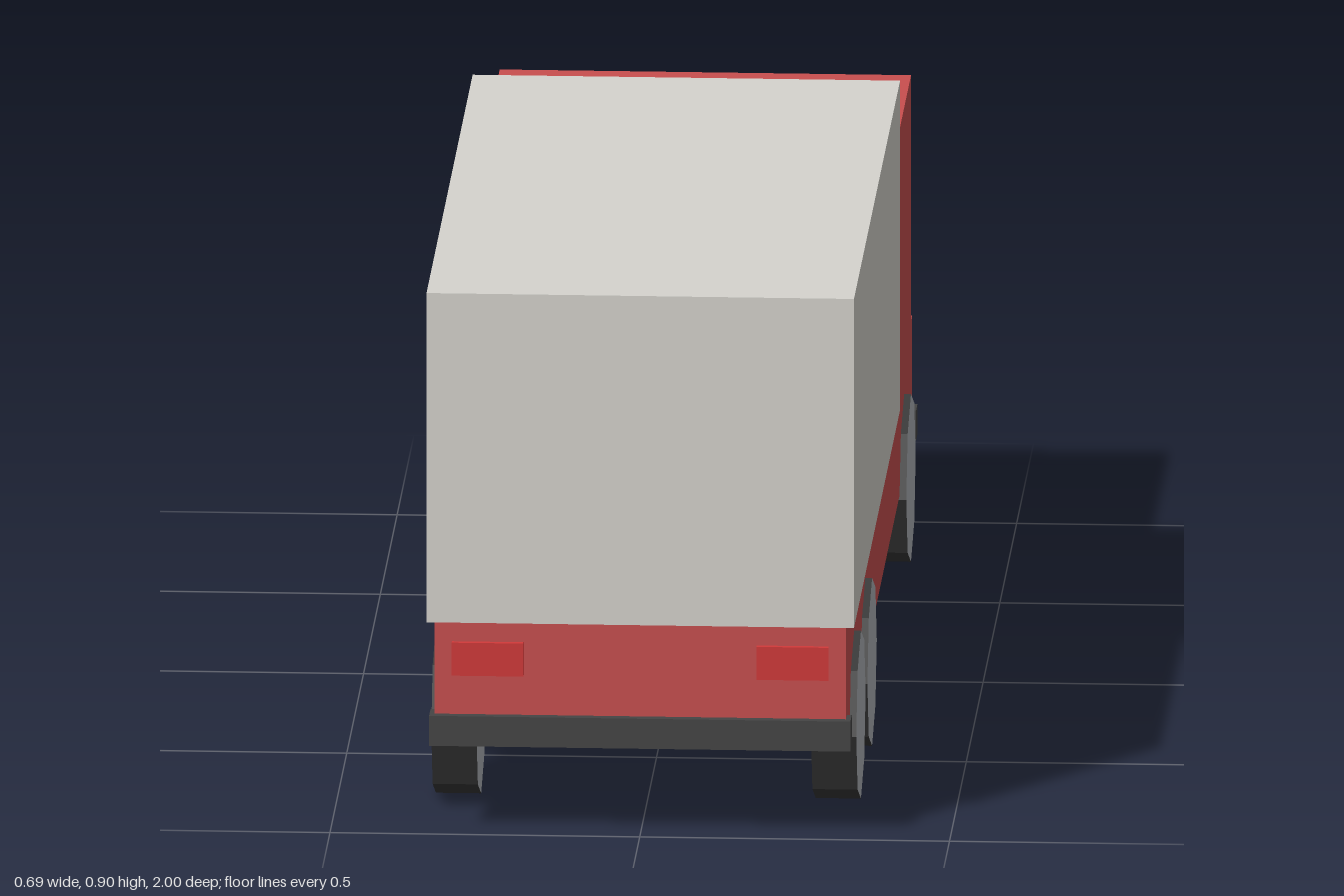
import * as THREE from 'three';

const mat = (color) => new THREE.MeshStandardMaterial({ color, flatShading: true });

export function createModel() {
  const truck = new THREE.Group();
  truck.name = 'boxTruck';

  const red = mat(0xc94f4f);
  const cargoGrey = mat(0xd6d4ce);
  const bumperGrey = mat(0x454545);
  const glass = mat(0x64849c);
  const tyre = mat(0x383838);
  const hub = mat(0xb0b4b9);
  const headlamp = mat(0xd8d6cc);
  const tailLamp = mat(0xd23a3a);

  // Box given by its limits along each axis
  const block = (name, material, [x0, x1], [y0, y1], [z0, z1]) => {
    const mesh = new THREE.Mesh(new THREE.BoxGeometry(x1 - x0, y1 - y0, z1 - z0), material);
    mesh.position.set((x0 + x1) / 2, (y0 + y1) / 2, (z0 + z1) / 2);
    mesh.name = name;
    truck.add(mesh);
  };

  // Body: the cab sits at the -z end
  block('chassis', red, [-0.332, 0.332], [0.147, 0.349], [-0.982, 0.985]);
  block('cab', red, [-0.332, 0.332], [0.349, 0.757], [-0.955, -0.462]);
  block('cargoBox', cargoGrey, [-0.345, 0.345], [0.349, 0.898], [-0.389, 0.985]);
  block('windscreen', glass, [-0.318, 0.318], [0.497, 0.682], [-0.96, -0.95]);

  // Bumpers
  block('cabBumper', bumperGrey, [-0.34, 0.34], [0.147, 0.197], [-1, -0.957]);
  block('tailBumper', bumperGrey, [-0.34, 0.34], [0.147, 0.197], [0.957, 1]);

  // Lamps and wheels, mirrored across x
  const wheelGeo = new THREE.CylinderGeometry(0.14, 0.14, 0.073, 8);
  wheelGeo.rotateZ(Math.PI / 2);
  for (const s of [1, -1]) {
    const side = s > 0 ? 'Left' : 'Right';
    const lampX = s > 0 ? [0.188, 0.304] : [-0.304, -0.188];
    block('headlamp' + side, headlamp, lampX, [0.263, 0.318], [-0.992, -0.975]);
    block('tailLamp' + side, tailLamp, lampX, [0.263, 0.318], [0.978, 0.994]);

    [-0.75, 0.408, 0.74].forEach((z, i) => {
      const wheel = new THREE.Mesh(wheelGeo, [tyre, hub, hub]);
      wheel.position.set(s * 0.3065, 0.14, z);
      wheel.name = `wheel${side}${i + 1}`;
      truck.add(wheel);
    });
  }

  return truck;
}
